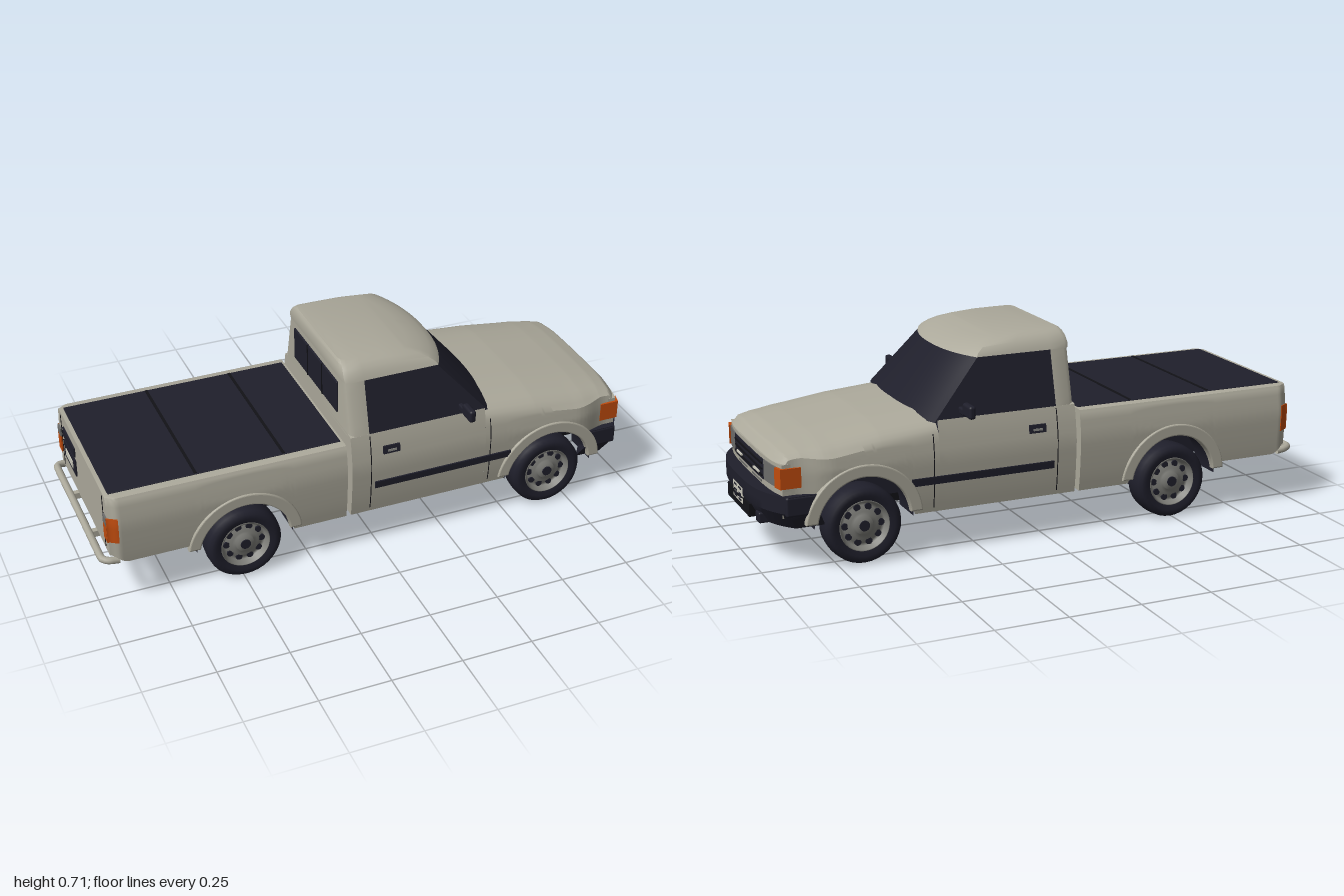
import * as THREE from 'three';
import { toCreasedNormals } from 'three/addons/utils/BufferGeometryUtils.js';
import { RoundedBoxGeometry } from 'three/addons/geometries/RoundedBoxGeometry.js';

const mat = (name, color) => {
  const m = new THREE.MeshStandardMaterial({ color, side: THREE.DoubleSide });
  m.name = name;
  return m;
};
const lerp = THREE.MathUtils.lerp, smooth = THREE.MathUtils.smoothstep;

// piecewise linear lookup in [key, value] pairs
function table(pairs, k) {
  if (k <= pairs[0][0]) return pairs[0][1];
  for (let i = 1; i < pairs.length; i++) {
    const [a, va] = pairs[i - 1], [b, vb] = pairs[i];
    if (k <= b) return lerp(va, vb, (k - a) / (b - a));
  }
  return pairs[pairs.length - 1][1];
}

// half width of the body by height, narrowing towards the nose and the tail corners
const WIDTH = [[0.15, 0.315], [0.2, 0.322], [0.27, 0.327], [0.34, 0.33], [0.38, 0.325], [0.44, 0.315], [0.47, 0.306]];
const HOOD = [[0.4, 0.479], [0.6, 0.463], [0.8, 0.436], [0.88, 0.421], [0.93, 0.406], [0.955, 0.378]];
const width = (x, y) => table(WIDTH, y) * (1 - 0.09 * smooth(x, 0.76, 0.92) - 0.06 * smooth(-x, 0.925, 0.965));
const WHEELS = [-0.492, 0.663], AXLE = 0.137, ARCH = 0.172;

// lower body edge, cut out round the wheels
function lowerEdge(x) {
  let y = x < -0.6 ? 0.185 + 0.03 * smooth(-x, 0.9, 0.96) : x > 0.75 ? 0.19 : 0.15;
  for (const w of WHEELS) {
    const d = ARCH ** 2 - (x - w) ** 2;
    if (d > 0) y = Math.max(y, AXLE + 0.008 + Math.sqrt(d));
  }
  return y;
}

const mirrorHalf = half => {
  const back = half.map(([x, y, z]) => [x, y, -z]).reverse();
  return half.concat(half[half.length - 1][2] === 0 ? back.slice(1) : back);
};

// surface through rows of points, optionally closed at the first or last row
function loft(rows, capFirst, capLast) {
  const n = rows[0].length, index = [];
  for (let i = 0; i < rows.length - 1; i++) for (let j = 0; j < n - 1; j++) {
    const a = i * n + j, b = a + n;
    index.push(a, b, a + 1, b, b + 1, a + 1);
  }
  const cap = (o, flip) => {
    for (let k = 0; k < Math.floor(n / 2); k++) {
      const a = o + k, b = o + k + 1, c = o + n - 1 - k, d = c - 1;
      if (flip) index.push(a, b, c, b, d, c); else index.push(a, c, b, b, c, d);
    }
  };
  if (capFirst) cap(0, true);
  if (capLast) cap((rows.length - 1) * n, false);
  const g = new THREE.BufferGeometry();
  g.setAttribute('position', new THREE.Float32BufferAttribute(rows.flat(2), 3));
  g.setIndex(index);
  return toCreasedNormals(g, 0.55);
}

export function createModel() {
  const root = new THREE.Group();
  const paint = mat('body paint', 0xaca99b), dark = mat('dark trim and glass', 0x1f1f2b);
  const black = mat('black seams', 0x121217), orange = mat('orange lamp', 0xc04c0e);
  const lamp = mat('headlamp grey', 0x6d6d6b), metal = mat('wheel metal', 0x80807b), pale = mat('pale plate', 0xc9c7ba);

  const add = (name, geo, m, x = 0, y = 0, z = 0) => {
    const mesh = new THREE.Mesh(geo, m);
    mesh.name = name;
    mesh.position.set(x, y, z);
    root.add(mesh);
    return mesh;
  };
  const box = (name, m, x0, x1, y0, y1, z0, z1, r = 0) => add(name,
    r ? new RoundedBoxGeometry(x1 - x0, y1 - y0, z1 - z0, 3, r) : new THREE.BoxGeometry(x1 - x0, y1 - y0, z1 - z0),
    m, (x0 + x1) / 2, (y0 + y1) / 2, (z0 + z1) / 2);
  const pair = (name, m, x0, x1, y0, y1, z0, z1, r) => {
    box(name, m, x0, x1, y0, y1, z0, z1, r);
    box(name, m, x0, x1, y0, y1, -z1, -z0, r);
  };
  // strip lying on both body sides
  const strip = (name, m, x0, x1, y0, y1, lift = 0.003) => {
    for (const s of [1, -1]) {
      const g = new THREE.BoxGeometry(x1 - x0, y1 - y0, 0.006, 8, 8, 1).translate((x0 + x1) / 2, (y0 + y1) / 2, 0);
      const p = g.attributes.position;
      for (let i = 0; i < p.count; i++) p.setZ(i, p.getZ(i) + s * (width(p.getX(i), p.getY(i)) + lift - 0.003));
      g.computeVertexNormals();
      add(name, g, m);
    }
  };
  // box bent round the nose
  const bowBox = (name, m, z0, z1, y0, y1, front, thick, bow = 0.025, power = 4, tuck = 0) => {
    const g = new THREE.BoxGeometry(thick, y1 - y0, z1 - z0, 1, 4, 24).translate(front - thick / 2, (y0 + y1) / 2, (z0 + z1) / 2);
    const p = g.attributes.position;
    for (let i = 0; i < p.count; i++) {
      const z = p.getZ(i), low = tuck * Math.max(0, 1 - (p.getY(i) - y0) / 0.06);
      p.setX(i, p.getX(i) - bow * Math.abs(z / 0.31) ** power - low * 0.3);
      p.setZ(i, z * (1 - low));
    }
    add(name, toCreasedNormals(g, 0.5), m);
  };

  // body sections
  const columns = (x0, x1, n) => Array.from({ length: n + 1 }, (_, i) => lerp(x0, x1, i / n));
  const section = (x, sideTop, over) => {
    const lo = lowerEdge(x), half = [];
    for (let i = 0; i <= 10; i++) {
      const y = lerp(lo, sideTop, i / 10);
      half.push([x, y, width(x, y)]);
    }
    half.push(...over);
    return mirrorHalf(half);
  };
  const bedRows = columns(-0.96, -0.122, 100).map(x => {
    const w = width(x, 0.44);
    return section(x, 0.43, [[x, 0.438, w - 0.004], [x, 0.441, w - 0.012], [x, 0.441, 0.15], [x, 0.441, 0]]);
  });
  add('cargo bed', loft(bedRows, true, true), paint);
  const cabRows = columns(-0.105, 0.4, 16).map(x => section(x, 0.462, [[x, 0.466, 0.3], [x, 0.466, 0]]));
  add('cab lower body', loft(cabRows, true, false), paint);
  const noseRows = columns(0.4, 0.955, 90).map(x => {
    const h = table(HOOD, x), k = width(x, 0.4) / 0.322, flat = 1 - 0.65 * smooth(x, 0.75, 0.95);
    const over = [[0.31, 0.045], [0.297, 0.032], [0.27, 0.02], [0.22, 0.011], [0.18, 0.003], [0.09, 0.001], [0, 0]]
      .map(([z, d]) => [x, h - d * flat, z * k]);
    return section(x, h - 0.06 * flat, over).map(([px, y, z]) => [px - 0.025 * smooth(x, 0.8, 0.95) * (z / 0.31) ** 4, y, z]);
  });
  add('hood and fenders', loft(noseRows), paint);

  // cab glass, rear pillars and roof, from outlines at rising heights
  const outline = (y, w, xs, xc, xr) => {
    const front = columns(0, 1, 10).map(t => [xc - (xc - xs) * t ** 2.4, y, w * t]);
    const glass = [...front, [lerp(xs, -0.035, 0.5), y, w], [-0.035, y, w]];
    const rear = [[-0.035, y, w], [xr + 0.02, y, w], [xr + 0.005, y, w - 0.008], [xr, y, w - 0.025], [xr, y, 0]];
    return { glass, rear, all: glass.concat(rear.slice(1)) };
  };
  const house = columns(0, 1, 5).map(t => outline(lerp(0.455, 0.652, t), lerp(0.31, 0.26, t),
    lerp(0.41, 0.232, t), lerp(0.466, 0.295, t), -0.105));
  add('windshield and side windows', loft(house.map(o => mirrorHalf(o.glass))), dark);
  add('cab rear pillars', loft(house.map(o => mirrorHalf(o.rear))), paint);
  const roofRows = [[0.65, 0.259, 0.23, 0.292, -0.105], [0.65, 0.264, 0.238, 0.3, -0.108], [0.668, 0.257, 0.23, 0.292, -0.11],
    [0.688, 0.243, 0.208, 0.27, -0.108], [0.701, 0.226, 0.18, 0.24, -0.105], [0.709, 0.205, 0.135, 0.195, -0.1]]
    .map(a => mirrorHalf(outline(...a).all).map(([x, y, z]) => [x, y - 0.4 * Math.max(0, x) ** 2 * (y - 0.65) / 0.058, z]));
  add('roof', loft(roofRows, false, true), paint);
  box('rear window', dark, -0.111, -0.103, 0.505, 0.625, -0.2, 0.2, 0.003);
  pair('rear window divider', black, -0.113, -0.104, 0.505, 0.625, 0.065, 0.07);

  // bed cover, tailgate and tail lamps
  box('bed cover', dark, -0.945, -0.13, 0.437, 0.444, -0.283, 0.283, 0.003);
  for (const x of [-0.645, -0.335]) box('cover seam', black, x - 0.005, x + 0.005, 0.44, 0.446, -0.28, 0.28);
  pair('tailgate seam', black, -0.962, -0.955, 0.225, 0.43, 0.262, 0.265);
  box('tailgate handle', dark, -0.966, -0.955, 0.365, 0.4, -0.23, -0.08);
  box('rear plate recess', dark, -0.965, -0.955, 0.285, 0.35, -0.23, -0.08);
  box('rear plate', pale, -0.968, -0.96, 0.302, 0.33, -0.2, -0.11);
  strip('tail lamp side', orange, -0.965, -0.93, 0.272, 0.366, 0.004);
  pair('tail lamp rear', orange, -0.966, -0.95, 0.272, 0.335, 0.272, 0.309);
  pair('tail lamp rear upper', lamp, -0.966, -0.95, 0.335, 0.366, 0.272, 0.309);
  const pipe = [[-0.93, 0.192, 0.308], [-0.965, 0.197, 0.308], [-0.986, 0.2, 0.288], [-0.986, 0.2, 0.1], [-0.986, 0.2, 0]];
  const pipeCurve = new THREE.CatmullRomCurve3(mirrorHalf(pipe).map(p => new THREE.Vector3(...p)), false, 'catmullrom', 0.2);
  add('rear pipe bumper', new THREE.TubeGeometry(pipeCurve, 60, 0.013, 10), paint);
  pair('pipe bumper bracket', paint, -0.98, -0.87, 0.172, 0.195, 0.11, 0.13);

  // side trim
  strip('side rub strip', dark, -0.02, 0.5, 0.25, 0.276, 0.006);
  strip('door handle', dark, 0.01, 0.072, 0.382, 0.41, 0.006);
  strip('door handle pull', metal, 0.025, 0.058, 0.39, 0.397, 0.009);
  strip('door front seam', black, 0.418, 0.421, 0.165, 0.42, 0.001);
  strip('door rear seam', black, -0.036, -0.033, 0.165, 0.455, 0.001);
  pair('mirror housing', dark, 0.298, 0.322, 0.476, 0.521, 0.333, 0.4, 0.009);
  pair('mirror arm', dark, 0.302, 0.32, 0.474, 0.498, 0.28, 0.338, 0.006);

  // nose, lamps, grille and front bumper
  bowBox('front fascia', paint, -0.298, 0.298, 0.2, 0.372, 0.955, 0.03);
  bowBox('grille', dark, -0.17, 0.17, 0.29, 0.358, 0.959, 0.02);
  for (const y of [0.3, 0.322, 0.342]) bowBox('grille bar', black, -0.16, 0.16, y, y + 0.006, 0.963, 0.01);
  for (const s of [1, -1]) {
    const span = (a, b) => s > 0 ? [a, b] : [-b, -a];
    bowBox('headlamp', lamp, ...span(0.17, 0.27), 0.292, 0.36, 0.959, 0.02);
    bowBox('turn lamp', orange, ...span(0.27, 0.306), 0.292, 0.36, 0.965, 0.07);
    bowBox('fascia slot', lamp, ...span(0.03, 0.135), 0.274, 0.28, 0.957, 0.01);
    bowBox('grille glint', pale, ...span(0.07, 0.133), 0.305, 0.311, 0.965, 0.01);
  }
  bowBox('front bumper', dark, -0.322, 0.322, 0.15, 0.268, 1.0, 0.1, 0.07, 3.5, 0.1);
  pair('bumper end', dark, 0.825, 0.93, 0.2, 0.268, 0.285, 0.324, 0.008);
  box('bumper lower intake', black, 0.97, 1.0, 0.155, 0.2, -0.13, 0.13);
  box('front plate', pale, 0.992, 1.0, 0.176, 0.234, -0.057, 0.057);
  for (const y of [0.183, 0.193, 0.203, 0.222]) pair('plate mark', dark, 0.997, 1.002, y, y + 0.005, 0.012, 0.04);
  pair('tow hook', dark, 0.92, 0.985, 0.148, 0.185, 0.15, 0.192, 0.006);

  // underbody
  box('underbody core', dark, -0.945, 0.92, 0.19, 0.35, -0.19, 0.19);
  for (const [a, b] of [[-0.945, -0.67], [-0.315, -0.125], [-0.1, 0.485], [0.84, 0.9]])
    box('floor', dark, a, b, a < -0.6 ? 0.215 : 0.19, 0.24, -0.3, 0.3);
  pair('chassis rail', black, -0.62, 0.85, 0.148, 0.19, 0.12, 0.15);
  pair('rear chassis rail', black, -0.93, -0.62, 0.185, 0.2, 0.12, 0.15);
  for (const x of [-0.25, 0.05, 0.35]) box('cross member', black, x - 0.015, x + 0.015, 0.155, 0.19, -0.28, 0.28);
  add('muffler', new THREE.CapsuleGeometry(0.026, 0.17, 4, 14).rotateZ(Math.PI / 2), paint, -0.05, 0.17, 0.05);
  add('drive shaft', new THREE.CylinderGeometry(0.012, 0.012, 1.1, 10).rotateZ(Math.PI / 2), dark, 0.08, 0.16, 0);
  add('gearbox', new THREE.SphereGeometry(0.045, 14, 10).scale(1.6, 0.8, 1), dark, 0.25, 0.147, 0);

  // wheels, wells and arch flares
  const tire = new THREE.LatheGeometry([[0.086, -0.04], [0.105, -0.05], [0.122, -0.048], [0.131, -0.036], [0.134, 0],
    [0.131, 0.036], [0.122, 0.048], [0.105, 0.05], [0.086, 0.044]].map(p => new THREE.Vector2(...p)), 36);
  const rim = new THREE.LatheGeometry([[0.086, -0.04], [0.082, 0], [0.089, 0.044], [0.084, 0.047], [0.076, 0.024], [0.066, 0.022], [0.046, 0.034],
    [0.034, 0.03], [0.031, 0.042], [0, 0.044]].map(p => new THREE.Vector2(...p)), 36);
  const arch = new THREE.Shape();
  arch.absarc(0, 0, 0.199, 0.12, Math.PI - 0.12, false);
  arch.absarc(0, 0, 0.167, Math.PI - 0.14, 0.14, true);
  const flare = new THREE.ExtrudeGeometry(arch, { depth: 0.035, bevelEnabled: true, bevelSize: 0.005, bevelThickness: 0.005, bevelSegments: 3, curveSegments: 28 });
  const fp = flare.attributes.position;
  for (let i = 0; i < fp.count; i++) fp.setZ(i, 0.0175 + (fp.getZ(i) - 0.0175) * lerp(0.5, 1, smooth(fp.getY(i), 0, 0.13)));
  const well = new THREE.CylinderGeometry(ARCH, ARCH, 0.13, 28, 1, true, Math.PI / 2, Math.PI).rotateX(Math.PI / 2);
  for (const x of WHEELS) {
    add('axle', new THREE.CylinderGeometry(0.016, 0.016, 0.5, 12).rotateX(Math.PI / 2), dark, x, AXLE + 0.013, 0);
    add('differential', new THREE.SphereGeometry(0.04, 16, 12), dark, x, AXLE + 0.003, 0);
    for (const s of [1, -1]) {
      const wheel = new THREE.Group();
      wheel.name = 'wheel';
      const part = (name, g, m) => {
        const p = new THREE.Mesh(g, m);
        p.name = name;
        wheel.add(p);
        return p;
      };
      part('tire', tire, dark);
      part('rim', rim, metal);
      part('hub cap', new THREE.CylinderGeometry(0.018, 0.018, 0.006, 16), dark).position.y = 0.044;
      for (let i = 0; i < 10; i++) {
        const a = i * Math.PI / 5;
        part('rim hole', new THREE.CylinderGeometry(0.012, 0.012, 0.01, 10), dark).position.set(0.063 * Math.cos(a), 0.024, 0.063 * Math.sin(a));
      }
      wheel.rotation.x = s * Math.PI / 2;
      wheel.position.set(x, 0.134, s * 0.27);
      root.add(wheel);
      const w = add('wheel well', well, dark, x, AXLE + 0.008, s * 0.25);
      if (new THREE.Box3().setFromObject(w).max.y < AXLE + 0.1) w.rotation.z = Math.PI;
      add('wheel arch flare', flare, paint, x, AXLE + 0.008, s > 0 ? 0.296 : -0.331);
    }
  }
  return root;
}
